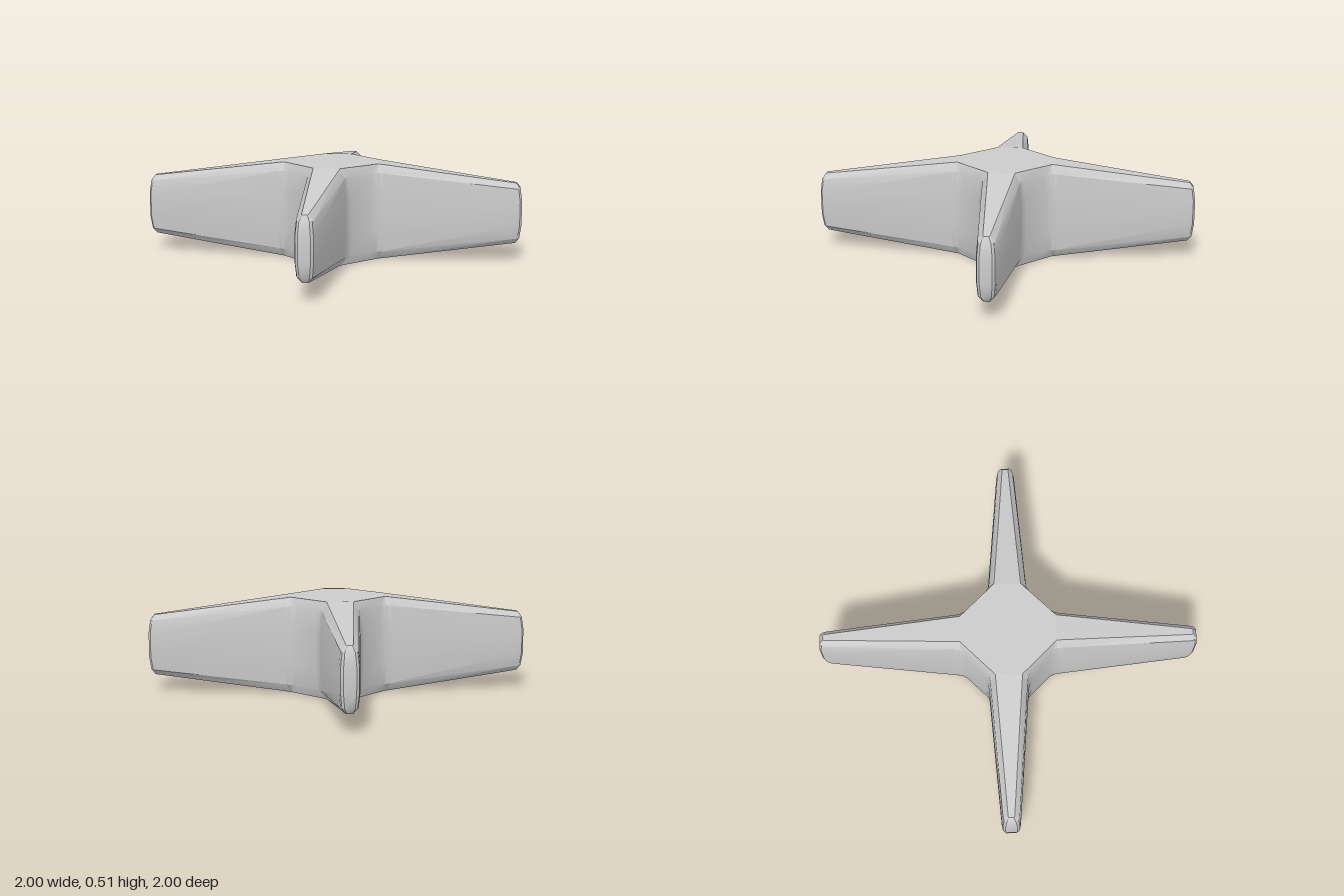
import * as THREE from 'three';
import { toCreasedNormals } from 'three/addons/utils/BufferGeometryUtils.js';

const MID = 0.255; // height of the symmetry plane

// Half outline of one arm (x along the arm, z half width), from hub to tip, per level
const rim = [[0.245, 0.075], [0.25, 0.07], [0.258, 0.069], [0.94, 0.018], [0.965, 0.016], [0.97, 0.012]];
const shoulder = [[0.225, 0.113], [0.25, 0.1], [0.275, 0.096], [0.96, 0.042], [0.98, 0.036], [0.99, 0.024]];
const waist = [[0.22, 0.125], [0.25, 0.109], [0.285, 0.103], [0.965, 0.049], [0.99, 0.043], [1.0, 0.03]];
const levels = [[-1, rim], [-0.83, shoulder], [-0.4, waist], [0.4, waist], [0.83, shoulder], [1, rim]];

// The body is full height at the hub and tapers toward each tip
function halfHeight(x) {
  const t = THREE.MathUtils.clamp((x - 0.25) / 0.72, 0, 1);
  return THREE.MathUtils.lerp(0.255, 0.16, t);
}

function starGeometry() {
  const positions = [];
  const index = [];
  const n = rim.length;
  const perArm = n * 2;
  const perRing = perArm * 4;

  // Rings: every level runs once around all four arms
  for (const [v, half] of levels) {
    const arm = [...half.map(([x, z]) => [x, -z]), ...[...half].reverse()];
    for (let a = 0; a < 4; a++) {
      const c = Math.round(Math.cos(a * Math.PI / 2));
      const s = Math.round(Math.sin(a * Math.PI / 2));
      for (const [x, z] of arm) {
        positions.push(x * c - z * s, MID + v * halfHeight(x), x * s + z * c);
      }
    }
  }

  // Walls between neighbouring rings
  for (let r = 0; r < levels.length - 1; r++) {
    for (let i = 0; i < perRing; i++) {
      const j = (i + 1) % perRing;
      const a = r * perRing + i, b = r * perRing + j;
      const c = a + perRing, d = b + perRing;
      index.push(a, c, b, b, c, d);
    }
  }

  // Top and bottom: a sloping strip on each arm and a flat octagonal hub
  for (const top of [false, true]) {
    const start = top ? (levels.length - 1) * perRing : 0;
    const tri = (a, b, c) => (top ? index.push(a, c, b) : index.push(a, b, c));
    const hub = [];
    for (let arm = 0; arm < 4; arm++) {
      const first = start + arm * perArm;
      const last = first + perArm - 1;
      for (let k = 0; k < n - 1; k++) {
        tri(first + k, first + k + 1, last - k);
        tri(first + k + 1, last - k - 1, last - k);
      }
      hub.push(first, last);
    }
    for (let k = 1; k < hub.length - 1; k++) tri(hub[0], hub[k], hub[k + 1]);
  }

  const geometry = new THREE.BufferGeometry();
  geometry.setAttribute('position', new THREE.Float32BufferAttribute(positions, 3));
  geometry.setIndex(index);
  return toCreasedNormals(geometry, 0.5);
}

export function createModel() {
  const model = new THREE.Group();
  model.name = 'fourPointedStar';
  const body = new THREE.Mesh(starGeometry(), new THREE.MeshStandardMaterial({ color: 0xcccccc }));
  body.name = 'starBody';
  model.add(body);
  return model;
}
